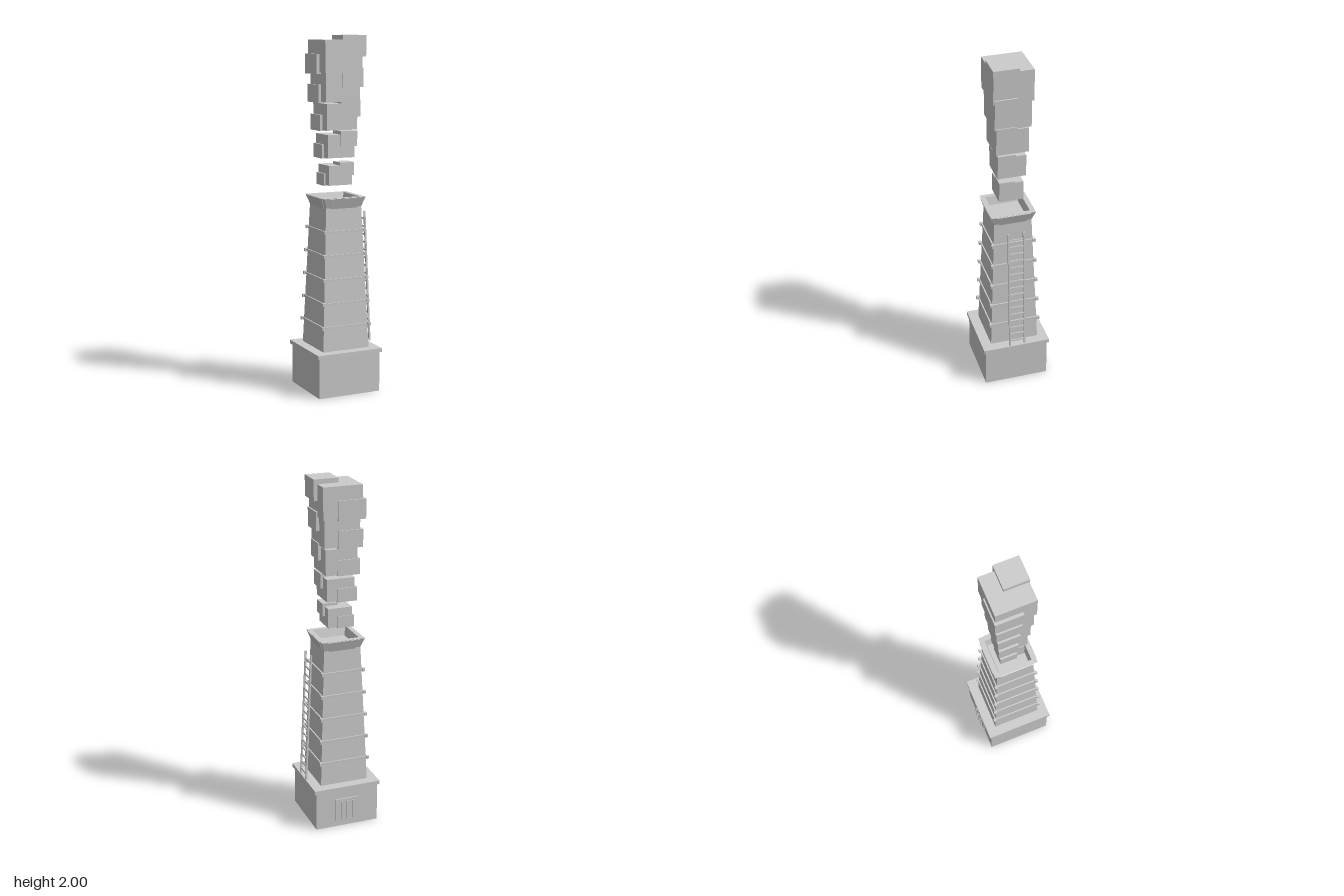
import * as THREE from 'three';

export function createModel() {
  const model = new THREE.Group();
  model.name = 'tower';
  const stone = new THREE.MeshStandardMaterial({ color: 0xcccccc });
  stone.name = 'pale grey stone';

  const add = (parent, name, geometry, x = 0, y = 0, z = 0) => {
    const mesh = new THREE.Mesh(geometry, stone);
    mesh.name = name;
    mesh.position.set(x, y, z);
    parent.add(mesh);
    return mesh;
  };
  const box = (parent, name, w, h, d, x, y, z) =>
    add(parent, name, new THREE.BoxGeometry(w, h, d), x, y, z);

  // Square solid from a profile of [half width, height], listed bottom to top
  const square = (parent, name, profile) => {
    const points = profile.map(([half, y]) => new THREE.Vector2(half * Math.SQRT2, y));
    const geometry = new THREE.LatheGeometry(points, 4, Math.PI / 4).toNonIndexed();
    geometry.computeVertexNormals();
    return add(parent, name, geometry);
  };

  const body = new THREE.Group();
  body.name = 'towerBody';
  body.position.set(-0.003, 0, 0.001);
  model.add(body);

  // Plinth, its cap and the tapering shaft
  square(body, 'plinth', [[0, 0], [0.187, 0], [0.187, 0.228], [0, 0.228]]);
  square(body, 'plinthCap', [[0, 0.228], [0.198, 0.228], [0.198, 0.25], [0, 0.25]]);
  square(body, 'shaft', [[0, 0.25], [0.141, 0.25], [0.108, 1.055], [0, 1.055]]);

  // Bands round the shaft with a block at each corner
  for (let i = 0; i < 5; i++) {
    const y = 0.386 + i * 0.134;
    const half = 0.141 - ((y - 0.25) / 0.805) * 0.033;
    const band = new THREE.Group();
    band.name = 'band' + (i + 1);
    body.add(band);
    const edge = half + 0.007;
    square(band, 'bandStrip', [[half - 0.01, y - 0.006], [edge, y - 0.006], [edge, y + 0.006], [half - 0.01, y + 0.006]]);
    for (const sx of [-1, 1]) for (const sz of [-1, 1]) {
      box(band, 'cornerBlock', 0.016, 0.018, 0.016, sx * (half + 0.007), y, sz * (half + 0.007));
    }
  }

  // Hollow flared crown
  square(body, 'crown', [[0.08, 1.05], [0.106, 1.05], [0.127, 1.11], [0.1, 1.11], [0.088, 1.06], [0, 1.06]]);

  // Raised tapered panel on each crown face
  const panelShape = new THREE.Shape([[-0.079, 0.001], [0.079, 0.001], [0.097, 0.062], [-0.097, 0.062]]
    .map(([x, y]) => new THREE.Vector2(x, y)));
  const panelGeometry = new THREE.ExtrudeGeometry(panelShape, { depth: 0.004, bevelEnabled: false });
  for (let i = 0; i < 4; i++) {
    const side = new THREE.Group();
    side.name = 'crownSide' + (i + 1);
    side.rotation.y = i * Math.PI / 2;
    body.add(side);
    add(side, 'crownPanel', panelGeometry, 0, 1.05, 0.106).rotation.x = Math.atan2(0.021, 0.06);
  }

  // Floating block clusters, growing larger upward
  const clusters = [[0.62, 1.174], [0.72, 1.328], [0.815, 1.482], [0.91, 1.638], [1, 1.796]];
  clusters.forEach(([scale, y], i) => {
    const cluster = new THREE.Group();
    cluster.name = 'blockCluster' + (i + 1);
    cluster.position.set(-0.0035, y, -0.001);
    cluster.scale.setScalar(scale);
    model.add(cluster);
    box(cluster, 'mainBlock', 0.225, 0.178, 0.225, 0, 0.089, 0);
    box(cluster, 'upperBlock', 0.141, 0.117, 0.141, 0.063, 0.1455, 0.0455);
    box(cluster, 'lowerBlock', 0.157, 0.109, 0.157, -0.051, 0.0465, -0.0415);
  });

  // Leaning ladder on the left side
  const ladder = new THREE.Group();
  ladder.name = 'ladder';
  ladder.position.set(0.1765, 0.637, -0.001);
  ladder.rotation.z = Math.atan2(0.036, 0.757);
  model.add(ladder);
  for (const s of [-1, 1]) box(ladder, 'ladderRail', 0.01, 0.757, 0.009, 0, 0, s * 0.0445);
  for (let i = 0; i < 16; i++) {
    box(ladder, 'ladderRung', 0.007, 0.009, 0.085, 0, -0.345 + i * 0.0453, 0);
  }

  // Vent with three bars on the back of the plinth
  box(model, 'ventPlate', 0.14, 0.138, 0.012, -0.003, 0.103, -0.187);
  for (const x of [-0.037, -0.003, 0.031]) {
    box(model, 'ventBar', 0.01, 0.112, 0.014, x, 0.103, -0.193);
  }

  return model;
}
